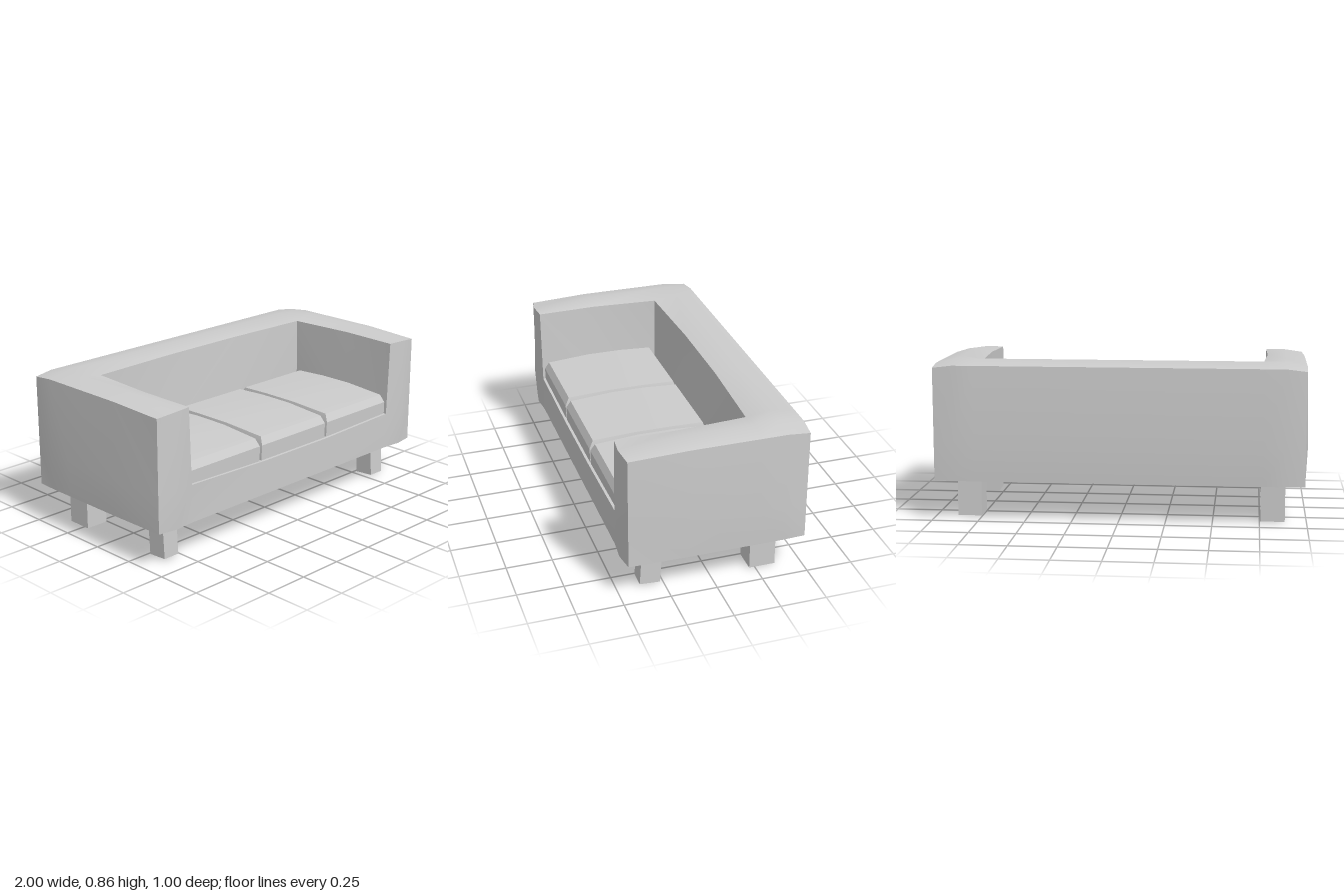
import * as THREE from 'three';
import { toCreasedNormals } from 'three/addons/utils/BufferGeometryUtils.js';

const material = new THREE.MeshStandardMaterial({ color: 0xcccccc });

function addMesh(parent, name, geometry) {
  const mesh = new THREE.Mesh(toCreasedNormals(geometry, 0.5), material);
  mesh.name = name;
  parent.add(mesh);
  return mesh;
}

// Skin of a block of cells: a quad wherever a filled cell meets an empty one.
function cellSkin(size, filled, point) {
  const pos = [];
  const isFilled = (c) => c.every((n, a) => n >= 0 && n < size[a]) && filled(...c);
  for (let i = 0; i < size[0]; i++)
    for (let j = 0; j < size[1]; j++)
      for (let k = 0; k < size[2]; k++) {
        const cell = [i, j, k];
        if (!isFilled(cell)) continue;
        for (let a = 0; a < 3; a++)
          for (const s of [-1, 1]) {
            const next = [...cell];
            next[a] += s;
            if (isFilled(next)) continue;
            const q = [[0, 0], [1, 0], [1, 1], [0, 1]].map(([u, v]) => {
              const c = [...cell];
              if (s > 0) c[a]++;
              c[(a + 1) % 3] += u;
              c[(a + 2) % 3] += v;
              return point(...c);
            });
            if (s < 0) q.reverse();
            for (const n of [0, 1, 2, 0, 2, 3]) pos.push(...q[n]);
          }
      }
  const geo = new THREE.BufferGeometry();
  geo.setAttribute('position', new THREE.Float32BufferAttribute(pos, 3));
  return geo;
}

// Upholstered shell: base, two arms and back, gently puffed out.
const COLUMNS = [0.985, 0.88, 0.77, 0.25];
const ROWS = [-0.48, -0.36, -0.22, 0.15, 0.47];
function shellPoint(i, j, k) {
  const side = i < 4 ? -1 : 1;
  const c = Math.min(i, 7 - i); // 0 outer side, 1 arm ridge, 2 inner side, 3 middle
  let x = COLUMNS[c];
  let y = [0.205, 0.42, 0.86][j];
  let z = ROWS[k];
  const endRow = k === 0 || k === 4;

  if (c === 0 && !endRow) x = j === 1 ? 1.0 : 0.99;
  if (c === 2) x = j === 2 ? [0.77, 0.765, 0.76, 0.785, 0.78][k] : 0.765;

  if (j === 0 && (c === 0 || endRow)) y = 0.215;
  if (j === 1 && c === 3 && k === 4) y = 0.405;
  if (j === 2) {
    if (c === 0) y = endRow ? 0.822 : 0.835;
    else if (k === 0 || k === 4) y = 0.835;
    else if (c >= 2 && k >= 2) y = 0.838;
  }

  if (k === 0 && c > 0) z = j === 1 ? -0.5 : -0.487;
  if (k === 2 && c === 3) z = j === 2 ? -0.24 : -0.215;
  if (k === 4) {
    if (c === 1) z = j === 1 ? 0.5 : 0.487;
    else if (c >= 2) z = 0.477;
  }
  return [side * x, y, z];
}

// Seat cushion with tapered sides, a soft top and a rolled front edge.
function cushionPoint(i, j, k) {
  const halfWidth = [0.25, 0.248, 0.235][j] + (k === 1 || k === 2 ? 0.006 : 0);
  const y = [0.4, 0.49, [0.54, 0.547, 0.547, 0.532][k]][j];
  const z = [
    [-0.2, 0, 0.2, 0.462],
    [-0.2, 0, 0.2, 0.465],
    [-0.18, 0, 0.2, 0.442],
  ][j][k];
  return [(i - 1) * halfWidth, y, z];
}

export function createModel() {
  const sofa = new THREE.Group();
  sofa.name = 'sofa';

  addMesh(sofa, 'upholsteredShell',
    cellSkin([7, 2, 4], (i, j, k) => j === 0 || i < 2 || i > 4 || k < 2, shellPoint));

  ['rightCushion', 'middleCushion', 'leftCushion'].forEach((name, n) => {
    addMesh(sofa, name, cellSkin([2, 2, 3], () => true, cushionPoint))
      .position.x = (n - 1) * 0.513;
  });

  // Stout square back legs and slimmer front legs kicked forward.
  for (const [label, s] of [['left', 1], ['right', -1]]) {
    addMesh(sofa, label + 'BackLeg', new THREE.BoxGeometry(0.13, 0.24, 0.142))
      .position.set(s * 0.82, 0.12, -0.291);
    const front = addMesh(sofa, label + 'FrontLeg', new THREE.BoxGeometry(0.095, 0.23, 0.11));
    front.position.set(s * 0.82, 0.123, 0.315);
    front.rotation.x = -0.06;
  }
  return sofa;
}
